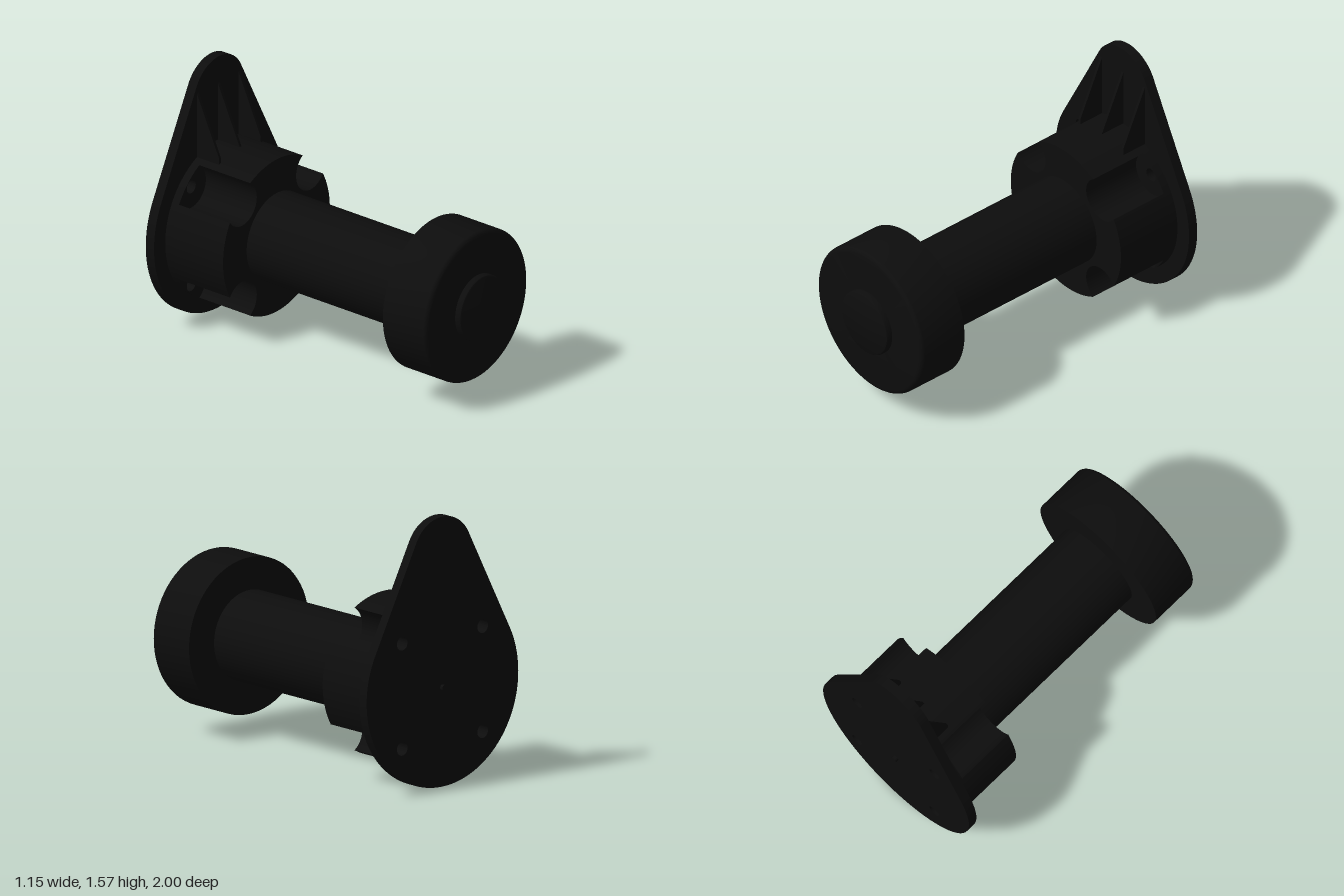
import * as THREE from 'three';
import { toCreasedNormals } from 'three/addons/utils/BufferGeometryUtils.js';

const AXIS = 0.575;   // height of the main axis
const BOLT = 0.305;   // bolt hole offset in x and y

export function createModel() {
  const group = new THREE.Group();
  const black = new THREE.MeshStandardMaterial({ color: 0x0d0d0d });
  black.name = 'matte black';

  const add = (name, geometry, y = AXIS, z = 0) => {
    const mesh = new THREE.Mesh(toCreasedNormals(geometry, 0.5), black);
    mesh.name = name;
    mesh.position.set(0, y, z);
    group.add(mesh);
    return mesh;
  };

  // Turned part: profile of [radius, z] pairs from back to front
  const turned = (name, profile) => add(name, new THREE.LatheGeometry(
    profile.map(([r, z]) => new THREE.Vector2(r, z)), 72).rotateX(Math.PI / 2));

  const extruded = (name, shape, z0, z1) => add(name, new THREE.ExtrudeGeometry(shape,
    { depth: z1 - z0, bevelEnabled: false, curveSegments: 48 }), AXIS, z0);

  const drill = (shape) => {
    for (const sx of [-1, 1]) for (const sy of [-1, 1]) {
      shape.holes.push(new THREE.Path().absarc(sx * BOLT, sy * BOLT, 0.04, 0, Math.PI * 2, true));
    }
    return shape;
  };

  // Teardrop mounting plate: two arcs joined by tangents
  const big = 0.575, small = 0.222, rise = 0.77;
  const tangent = Math.asin((big - small) / rise);
  const plate = new THREE.Shape();
  plate.absarc(0, rise, small, tangent, Math.PI - tangent, false);
  plate.absarc(0, 0, big, Math.PI - tangent, Math.PI * 2 + tangent, false);
  plate.closePath();
  extruded('mountingPlate', drill(plate), -0.98, -0.92);

  // Thin drilled disc forming the pocket floors
  const disc = new THREE.Shape().absarc(0, 0, 0.475, 0, Math.PI * 2, false);
  extruded('hubBase', drill(disc), -0.92, -0.87);

  // Hub with four round bolt pockets opening through its rim
  const R = 0.475, r = 0.13, d = BOLT * Math.SQRT2;
  const a = (d * d + R * R - r * r) / (2 * d);
  const h = Math.sqrt(R * R - a * a);
  const alpha = Math.atan2(h, a), phi = Math.atan2(h, a - d);
  const hub = new THREE.Shape();
  for (let i = 0; i < 4; i++) {
    const t = Math.PI / 4 + i * Math.PI / 2;
    hub.absarc(0, 0, R, t - Math.PI / 2 + alpha, t - alpha, false);
    hub.absarc(d * Math.cos(t), d * Math.sin(t), r, t - phi, t + phi, true);
  }
  hub.closePath();
  extruded('hub', hub, -0.87, -0.5);

  // Three triangular ribs bracing the plate
  const ribWidth = 0.016;
  for (const x of [-0.185, 0, 0.185]) {
    const rib = new THREE.Shape([
      [0.93, 0.40], [0.93, 0.86], [0.92, 0.83], [0.76, 0.475], [0.76, 0.40],
    ].map(([z, y]) => new THREE.Vector2(z, y)));
    const geometry = new THREE.ExtrudeGeometry(rib, { depth: ribWidth, bevelEnabled: false });
    geometry.translate(0, 0, -ribWidth / 2).rotateY(Math.PI / 2);
    add('plateRib', geometry).position.x = x;
  }

  // Shaft, rounded head and end cap
  turned('shaft', [[0.265, -0.52], [0.265, 0.66]]);
  const head = [[0, 0.645], [0.455, 0.645]];
  for (let i = 0; i <= 6; i++) {
    const t = i / 6 * Math.PI / 2;
    head.push([0.425 + 0.03 * Math.cos(t), 0.93 + 0.03 * Math.sin(t)]);
  }
  head.push([0, 0.96]);
  turned('head', head);
  turned('endCap', [[0.197, 0.95], [0.197, 0.988], [0.193, 0.996], [0.185, 1], [0, 1]]);

  // Small locating pin on the back
  turned('locatingPin', [[0, -1], [0.018, -1], [0.018, -0.97]]);

  return group;
}
